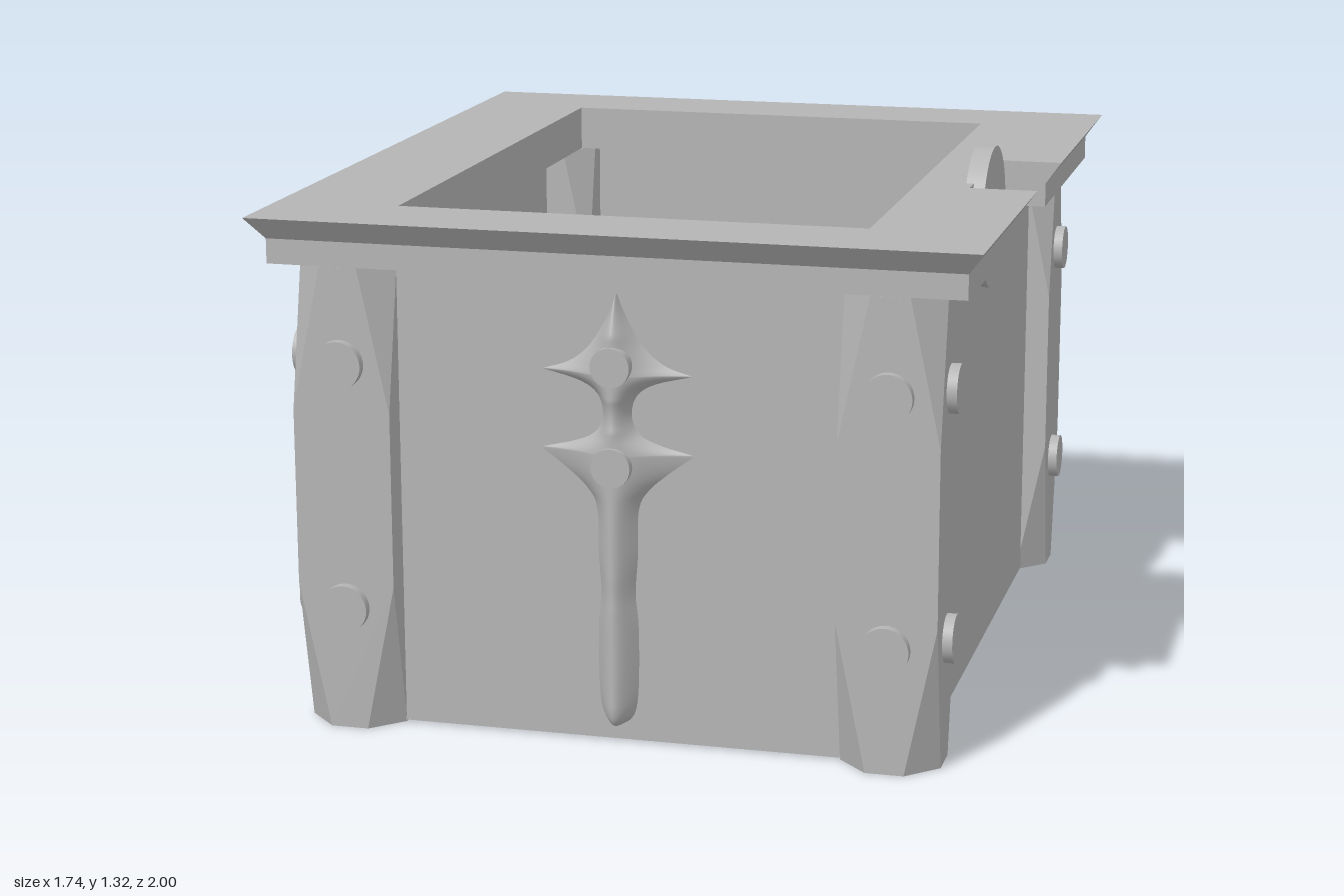
import * as THREE from 'three';
import { ConvexGeometry } from 'three/addons/geometries/ConvexGeometry.js';

const stone = new THREE.MeshStandardMaterial({ color: 0xb4b4b4 });
stone.name = 'plainGrey';

const V2 = (x, y) => new THREE.Vector2(x, y);

// Rectangular ring standing from y0 to y1, with an optional notch in the +x side
function ring(outX, outZ, inX, inZ, y0, y1, notch) {
  const pts = [V2(-outX, -outZ), V2(outX, -outZ)];
  if (notch) pts.push(V2(outX, -notch.z), V2(notch.x, -notch.z), V2(notch.x, notch.z), V2(outX, notch.z));
  pts.push(V2(outX, outZ), V2(-outX, outZ));
  const shape = new THREE.Shape(pts);
  shape.holes.push(new THREE.Path([V2(-inX, -inZ), V2(-inX, inZ), V2(inX, inZ), V2(inX, -inZ)]));
  const geo = new THREE.ExtrudeGeometry(shape, { depth: y1 - y0, bevelEnabled: false });
  return geo.rotateX(-Math.PI / 2).translate(0, y0, 0);
}

// Square post whose corners are cut into long triangles at both ends
function postGeometry() {
  const pts = [], r = 0.12, c = 0.046;
  for (const sx of [-1, 1]) for (const sz of [-1, 1]) {
    for (const y of [0, 1.135]) {
      pts.push(new THREE.Vector3(sx * r, y, sz * c), new THREE.Vector3(sx * c, y, sz * r));
    }
    for (const y of [0.36, 0.785]) pts.push(new THREE.Vector3(sx * r, y, sz * r));
  }
  return new ConvexGeometry(pts);
}

// Raised ornament: half-width curves between the cusps, swollen towards the middle
function ornamentGeometry() {
  const runs = [
    [[0, 1.095], [0.028, 1.03], [0.07, 0.965], [0.125, 0.925], [0.2, 0.905]],
    [[0.2, 0.905], [0.1, 0.883], [0.05, 0.853], [0.036, 0.805], [0.055, 0.76], [0.11, 0.735], [0.205, 0.715]],
    [[0.205, 0.715], [0.135, 0.672], [0.078, 0.625], [0.052, 0.575], [0.049, 0.465], [0.043, 0.37],
      [0.05, 0.29], [0.05, 0.16], [0.043, 0.085], [0.025, 0.053], [0, 0.045]],
  ];
  const rows = [];
  runs.forEach((run, i) => {
    const p = new THREE.SplineCurve(run.map(([x, y]) => V2(x, y))).getPoints(run.length * 6);
    rows.push(...(i ? p.slice(1) : p));
  });
  const n = 24, pos = [], idx = [];
  rows.forEach((row, j) => {
    const w = Math.max(0, row.x);
    const h = 0.06 * Math.min(1, Math.sqrt(w / 0.045));
    for (let i = 0; i <= n; i++) {
      const t = (i / n) * 2 - 1, x = t * w;
      pos.push(x, row.y, h * (1 - t * t) / (1 + (x / 0.09) ** 2));
      if (i < n && j < rows.length - 1) {
        const a = j * (n + 1) + i, b = a + n + 1;
        idx.push(a, b, a + 1, a + 1, b, b + 1);
      }
    }
  });
  const geo = new THREE.BufferGeometry();
  geo.setAttribute('position', new THREE.Float32BufferAttribute(pos, 3));
  geo.setIndex(idx);
  geo.computeVertexNormals();
  return geo;
}

export function createModel() {
  const model = new THREE.Group();
  model.name = 'openBox';
  const add = (name, geo, parent = model) => {
    const mesh = new THREE.Mesh(geo, stone);
    mesh.name = name;
    parent.add(mesh);
    return mesh;
  };

  // Hollow body and floor
  add('walls', ring(0.715, 0.885, 0.66, 0.835, 0.005, 1.135));
  add('floor', new THREE.BoxGeometry(1.34, 0.05, 1.69).translate(0, 0.03, 0));

  // Rim: straight band below, flaring flange above, both notched
  const notch = { x: 0.705, z: 0.203 };
  add('rimBand', ring(0.833, 0.955, 0.57, 0.767, 1.135, 1.195, notch));
  const flange = ring(0.872, 1, 0.57, 0.767, 1.195, 1.25, notch);
  const p = flange.attributes.position;
  for (let i = 0; i < p.count; i++) {
    if (p.getY(i) > 1.22) continue;
    if (Math.abs(p.getX(i)) > 0.85) p.setX(i, Math.sign(p.getX(i)) * 0.833);
    if (Math.abs(p.getZ(i)) > 0.97) p.setZ(i, Math.sign(p.getZ(i)) * 0.955);
  }
  flange.computeVertexNormals();
  add('rimFlange', flange);

  // Round plate standing in the notch
  add('latchDisc', new THREE.CylinderGeometry(0.178, 0.178, 0.048, 64)
    .rotateZ(Math.PI / 2).translate(0.71, 1.142, 0));

  // Corner posts with rivets on both outer faces
  const postGeo = postGeometry();
  const rivetZ = new THREE.CylinderGeometry(0.058, 0.058, 0.05, 32).rotateX(Math.PI / 2);
  const rivetX = new THREE.CylinderGeometry(0.058, 0.058, 0.05, 32).rotateZ(Math.PI / 2);
  for (const sx of [-1, 1]) for (const sz of [-1, 1]) {
    const corner = new THREE.Group();
    corner.name = 'cornerPost';
    corner.position.set(sx * 0.657, 0, sz * 0.836);
    add('post', postGeo, corner);
    for (const y of [0.305, 0.903]) {
      add('endRivet', rivetZ, corner).position.set(0, y, sz * 0.119);
      add('sideRivet', rivetX, corner).position.set(sx * 0.119, y, 0);
    }
    model.add(corner);
  }

  // Ornament with two studs on the front and the back
  const ornamentGeo = ornamentGeometry();
  const stud = new THREE.CylinderGeometry(0.047, 0.047, 0.06, 32).rotateX(Math.PI / 2);
  for (const [name, turn] of [['frontOrnament', 0], ['backOrnament', Math.PI]]) {
    const group = new THREE.Group();
    group.name = name;
    add('spike', ornamentGeo, group).position.z = 0.883;
    for (const y of [0.69, 0.93]) add('stud', stud, group).position.set(0, y, 0.922);
    group.rotation.y = turn;
    model.add(group);
  }
  return model;
}
